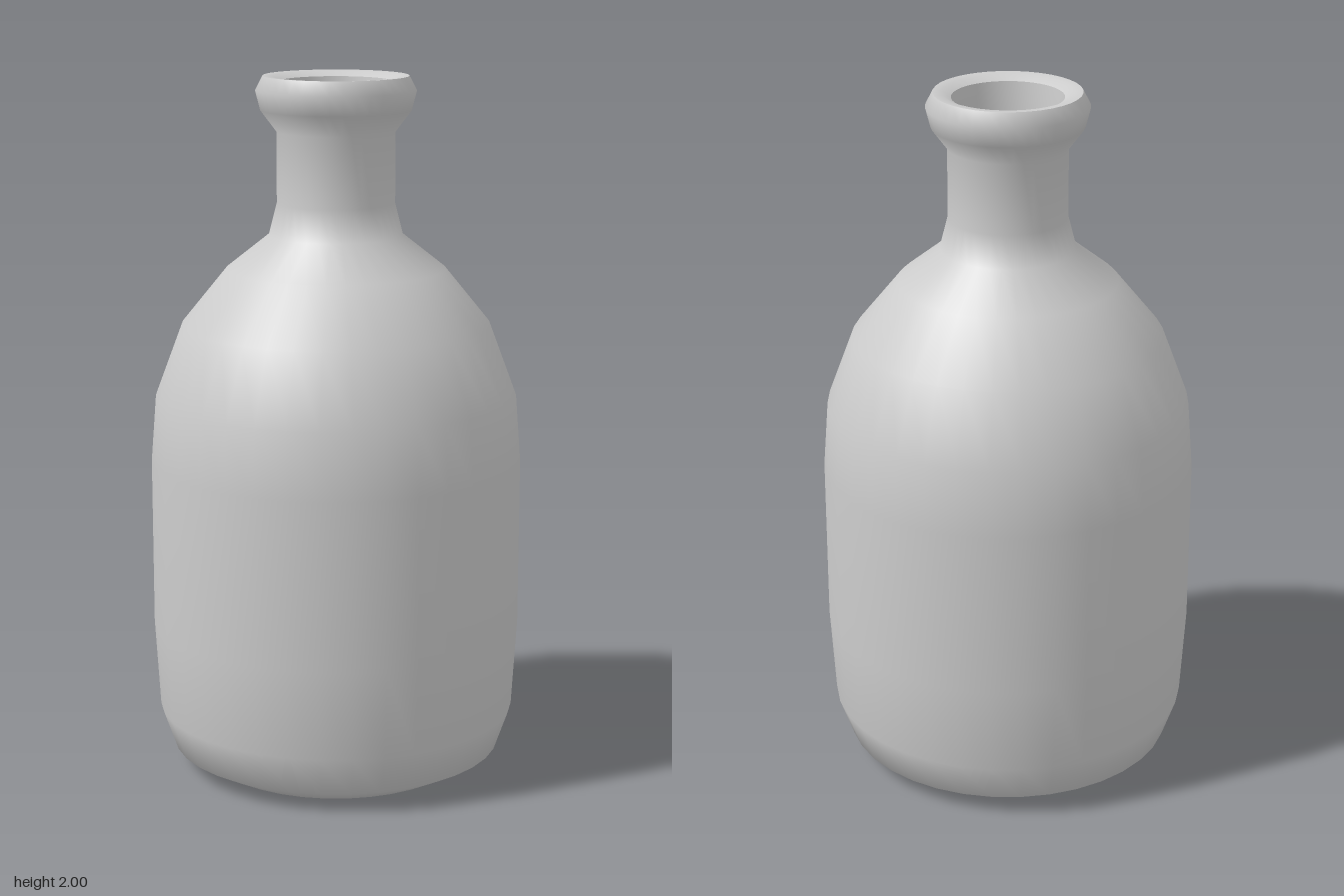
import * as THREE from 'three';

const SEGMENTS = 36;

// Turns a list of [radius, height] pairs around the y axis
function turned(name, profile, material) {
  const points = profile.map(([r, y]) => new THREE.Vector2(r, y));
  const mesh = new THREE.Mesh(new THREE.LatheGeometry(points, SEGMENTS), material);
  mesh.name = name;
  return mesh;
}

export function createModel() {
  const bottle = new THREE.Group();
  bottle.name = 'bottle';
  const grey = new THREE.MeshStandardMaterial({ color: 0xcccccc });
  grey.name = 'light grey';

  // Outer skin: base, body, shoulder, neck and flared lip
  bottle.add(turned('outerBody', [
    [0, 0.005], [0.37, 0.005], [0.475, 0.06], [0.515, 0.175], [0.53, 0.43],
    [0.53, 0.91], [0.515, 1.1], [0.44, 1.3], [0.31, 1.46], [0.19, 1.555],
    [0.167, 1.645], [0.167, 1.845], [0.212, 1.905], [0.226, 1.96], [0.205, 2],
  ], grey));

  // Lip top, with a gentle dip into the mouth
  bottle.add(turned('lip', [[0.205, 2], [0.18, 1.998], [0.155, 1.985]], grey));

  // Inner skin: mouth, neck, body and floor, facing inwards
  bottle.add(turned('innerWall', [
    [0.155, 1.985], [0.14, 1.84], [0.14, 1.64], [0.165, 1.54], [0.29, 1.44],
    [0.415, 1.285], [0.488, 1.09], [0.503, 0.91], [0.503, 0.43],
    [0.49, 0.19], [0.455, 0.085], [0.36, 0.035], [0, 0.035],
  ], grey));

  return bottle;
}
